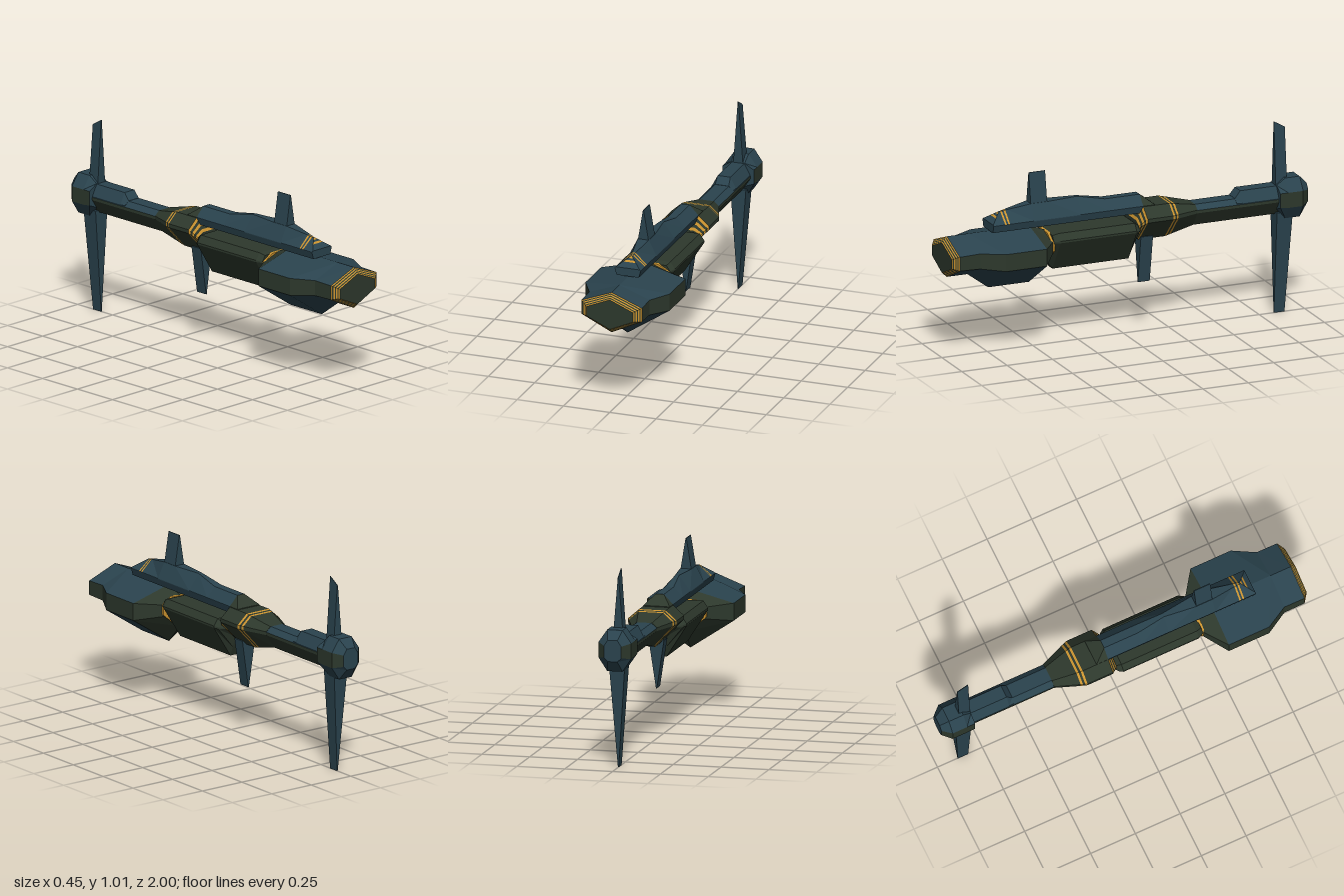
import * as THREE from 'three';

const blue = new THREE.MeshStandardMaterial({ color: 0x2a434e });
blue.name = 'slate blue';
const green = new THREE.MeshStandardMaterial({ color: 0x2d382c });
green.name = 'dark green';
const orange = new THREE.MeshStandardMaterial({ color: 0xc9922f });
orange.name = 'warning orange';
const MATS = [blue, green, orange];
const B = 0, G = 1, O = 2;

// Right half of an eight-sided section: flat top, chamfer, side, chamfer, flat bottom.
function oct(z, top, bottom, flatTop, w, yt, yb, flatBottom = flatTop) {
  return { z, pts: [[0, top], [flatTop, top], [w, yt], [w, yb], [flatBottom, bottom], [0, bottom]] };
}

// Sections blended from a to b, leaving out b itself.
function blend(a, b, n) {
  return Array.from({ length: n }, (_, k) => {
    const t = k / n;
    return {
      z: a.z + (b.z - a.z) * t,
      pts: a.pts.map((p, j) => p.map((v, c) => v + (b.pts[j][c] - v) * t)),
    };
  });
}

// Mirrored hull through sections ordered front to back; colour(i, j) picks the
// material of edge j behind section i, capColours those of the two ends.
function hull(name, sections, colour, capColours) {
  const faces = MATS.map(() => []);
  const tri = (m, s, a, b, c) => {
    const area = b.clone().sub(a).cross(c.clone().sub(a)).length();
    if (area < 1e-8) return;
    for (const p of s > 0 ? [a, b, c] : [a, c, b]) faces[m].push(p.x, p.y, p.z);
  };
  for (const s of [1, -1]) {
    const rings = sections.map(({ z, pts }) => pts.map(([x, y]) => new THREE.Vector3(s * x, y, z)));
    for (let i = 0; i < rings.length - 1; i++) {
      for (let j = 0; j < 5; j++) {
        const a = rings[i][j], b = rings[i][j + 1], c = rings[i + 1][j + 1], d = rings[i + 1][j];
        tri(colour(i, j), s, a, b, c);
        tri(colour(i, j), s, a, c, d);
      }
    }
    [rings[0], rings[rings.length - 1]].forEach((r, end) => {
      const mid = r[0].clone().lerp(r[5], 0.5);
      for (let j = 0; j < 5; j++) tri(capColours[end], end ? s : -s, mid, r[j], r[j + 1]);
    });
  }
  const geo = new THREE.BufferGeometry();
  geo.setAttribute('position', new THREE.Float32BufferAttribute(faces.flat(), 3));
  let start = 0;
  faces.forEach((f, m) => {
    if (f.length) geo.addGroup(start, f.length / 3, m);
    start += f.length / 3;
  });
  geo.computeVertexNormals();
  const mesh = new THREE.Mesh(geo, MATS);
  mesh.name = name;
  return mesh;
}

// Upright blade, a box thinning to a sharp tip; the rear of the tip may be cut lower.
function blade(name, base, tip, half, front, backBase, backTip, cut = 0) {
  const geo = new THREE.BoxGeometry(1, 1, 1);
  const p = geo.attributes.position;
  const dir = Math.sign(tip - base);
  for (let i = 0; i < p.count; i++) {
    const atTip = p.getY(i) * dir > 0, rear = p.getZ(i) < 0;
    p.setXYZ(
      i,
      Math.sign(p.getX(i)) * (atTip ? 0.002 : half),
      atTip ? tip - (rear ? dir * cut : 0) : base,
      rear ? (atTip ? backTip : backBase) : front,
    );
  }
  geo.computeVertexNormals();
  const mesh = new THREE.Mesh(geo, blue);
  mesh.name = name;
  return mesh;
}

export function createModel() {
  const g = new THREE.Group();
  g.name = 'spacecraft';

  // Wide head with a striped bevel round the nose
  const nose = oct(1, 0.61, 0.45, 0, 0.126, 0.557, 0.507);
  const noseRim = oct(0.973, 0.64, 0.425, 0, 0.163, 0.577, 0.503);
  g.add(hull('head', [
    ...blend(nose, noseRim, 7),
    noseRim,
    oct(0.86, 0.64, 0.425, 0, 0.163, 0.58, 0.5),
    oct(0.745, 0.64, 0.34, 0, 0.227, 0.58, 0.49),
    oct(0.52, 0.64, 0.34, 0, 0.227, 0.58, 0.49),
    oct(0.43, 0.605, 0.44, 0, 0.1, 0.57, 0.51),
  ], (i, j) => {
    if (i < 7) return i % 2 ? G : O;
    return j === 2 || i === 10 ? G : B;
  }, [G, G]));

  // Collar between head and pod
  g.add(hull('headCollar', [
    oct(0.442, 0.605, 0.445, 0.05, 0.108, 0.57, 0.52, 0.02),
    oct(0.425, 0.605, 0.445, 0.05, 0.108, 0.57, 0.52, 0.02),
  ], () => O, [O, O]));

  // Cargo pod with a keeled underside and chamfered ends
  g.add(hull('pod', [
    oct(0.43, 0.6, 0.44, 0.09, 0.11, 0.57, 0.565, 0.02),
    oct(0.4, 0.61, 0.4, 0.1, 0.125, 0.575, 0.565, 0.02),
    oct(-0.02, 0.61, 0.4, 0.1, 0.125, 0.575, 0.565, 0.02),
    oct(-0.04, 0.595, 0.45, 0.09, 0.11, 0.57, 0.56, 0.02),
    oct(-0.06, 0.58, 0.51, 0.06, 0.08, 0.565, 0.56, 0.02),
  ], () => G, [G, G]));

  // Joint behind the pod, with striped front bevel and rear band
  const jointFront = oct(-0.045, 0.61, 0.505, 0.06, 0.095, 0.59, 0.58, 0.015);
  const jointRim = oct(-0.08, 0.68, 0.49, 0.07, 0.127, 0.63, 0.61, 0.015);
  const bandFront = oct(-0.222, 0.68, 0.49, 0.07, 0.127, 0.63, 0.61, 0.015);
  const bandBack = oct(-0.255, 0.673, 0.498, 0.065, 0.115, 0.629, 0.608, 0.015);
  g.add(hull('joint', [
    ...blend(jointFront, jointRim, 5),
    jointRim,
    ...blend(bandFront, bandBack, 3),
    bandBack,
    oct(-0.38, 0.645, 0.53, 0.04, 0.066, 0.622, 0.605, 0.015),
  ], (i) => {
    if (i < 5) return i % 2 ? G : O;
    return i === 6 || i === 8 ? O : G;
  }, [G, G]));

  // Tail boom and the raised housing on it
  const boom = z => oct(z, 0.645, 0.53, 0.037, 0.066, 0.62, 0.605, 0.015);
  g.add(hull('tailBoom', [boom(-0.37), boom(-0.86)], (i, j) => (j < 2 ? B : G), [G, G]));
  g.add(hull('boomHousing', [
    oct(-0.6, 0.646, 0.62, 0.036, 0.062, 0.626, 0.62),
    oct(-0.63, 0.683, 0.62, 0.034, 0.064, 0.626, 0.62),
    oct(-0.85, 0.683, 0.62, 0.034, 0.064, 0.626, 0.62),
  ], () => B, [B, B]));

  // Tail hub carrying the two long blades
  g.add(hull('tailHub', [
    oct(-0.83, 0.685, 0.56, 0.035, 0.085, 0.655, 0.58),
    oct(-0.875, 0.72, 0.507, 0.04, 0.085, 0.655, 0.575),
    oct(-0.955, 0.72, 0.507, 0.04, 0.085, 0.655, 0.575),
    oct(-1, 0.675, 0.565, 0.025, 0.045, 0.645, 0.585),
  ], (i, j) => (j === 2 ? G : B), [B, B]));
  g.add(blade('upperTailBlade', 0.68, 1.015, 0.026, -0.83, -0.892, -0.89, 0.035));
  g.add(blade('lowerTailBlade', 0.54, 0, 0.042, -0.83, -0.917, -0.888));

  // Dorsal spine, pointed in front with a striped slope, ending in a green ramp
  const spine = (z, top, ft) => oct(z, top, 0.645, ft, 0.07, 0.683, 0.68, 0.06);
  const slopeLow = spine(0.745, 0.688, 0.065);
  const slopePeak = spine(0.69, 0.733, 0.004);
  const slopeEnd = spine(0.645, 0.742, 0.01);
  g.add(hull('spine', [
    ...blend(slopeLow, slopePeak, 6),
    ...blend(slopePeak, slopeEnd, 5),
    slopeEnd,
    spine(0.52, 0.763, 0.03),
    spine(0.43, 0.763, 0.03),
    spine(0.26, 0.763, 0.01),
    spine(0.11, 0.733, 0.022),
    spine(-0.08, 0.733, 0.022),
    spine(-0.145, 0.684, 0.04),
  ], (i, j) => {
    if (i === 16) return G;
    return i > 2 && i < 11 && i % 2 && j < (i < 6 ? 1 : 2) ? O : B;
  }, [B, G]));

  // Short fins above and below
  g.add(blade('dorsalFin', 0.75, 0.92, 0.03, 0.522, 0.432, 0.432));
  g.add(blade('ventralFin', 0.51, 0.26, 0.04, -0.08, -0.147, -0.145));

  return g;
}
